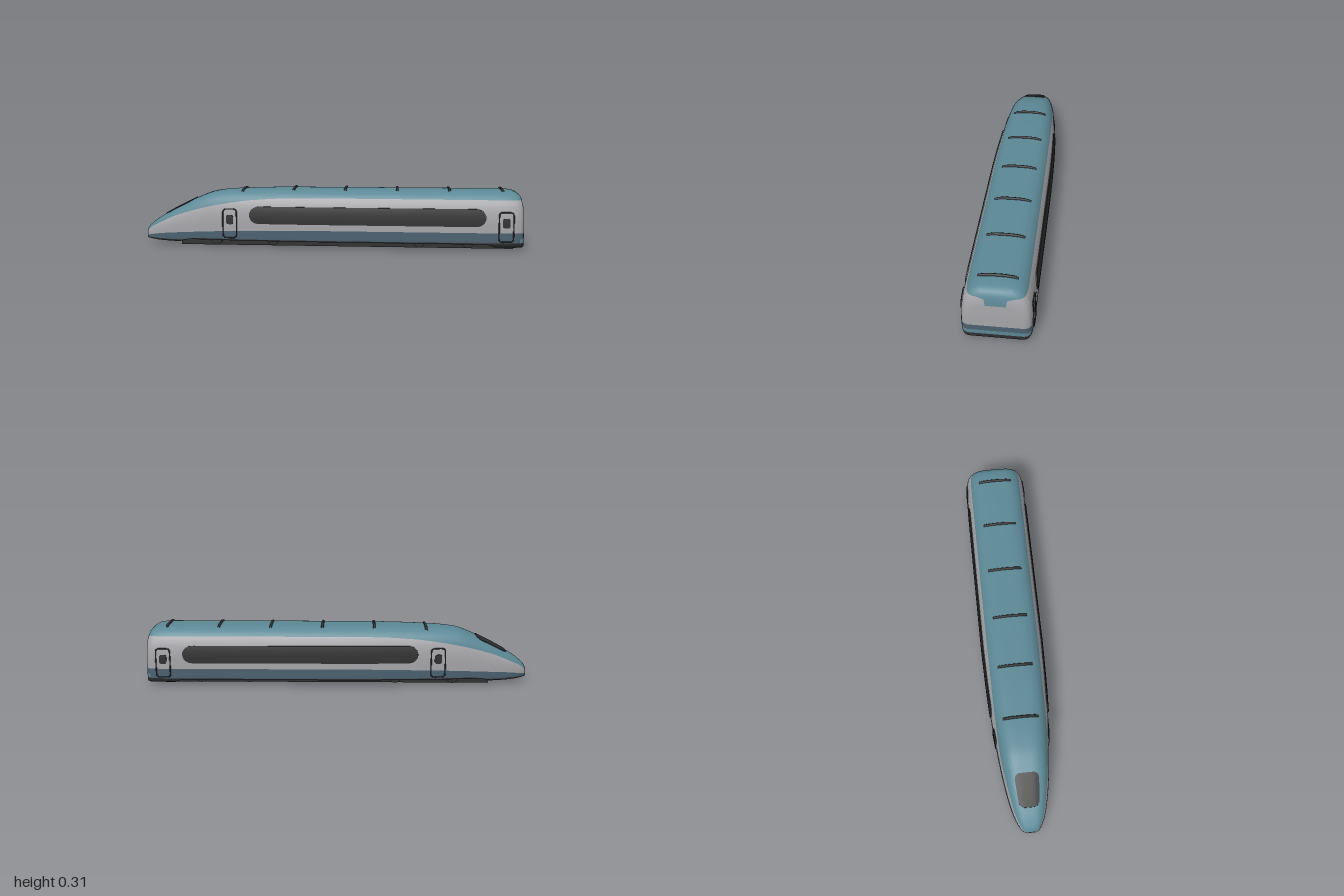
import * as THREE from 'three';
import { toCreasedNormals } from 'three/addons/utils/BufferGeometryUtils.js';

const mat = (name, color, side = THREE.FrontSide) => {
  const m = new THREE.MeshStandardMaterial({ color, side });
  m.name = name;
  return m;
};

// Smooth monotone curve through [x, value] points
function curve(...p) {
  const d = p.slice(1).map((q, i) => (q[1] - p[i][1]) / (q[0] - p[i][0]));
  const tangent = (i) => {
    if (i === 0) return d[0];
    if (i === p.length - 1) return d[i - 1];
    return d[i - 1] * d[i] <= 0 ? 0 : (2 * d[i - 1] * d[i]) / (d[i - 1] + d[i]);
  };
  return (x) => {
    x = Math.min(Math.max(x, p[0][0]), p[p.length - 1][0]);
    let i = 0;
    while (i < p.length - 2 && x > p[i + 1][0]) i++;
    const h = p[i + 1][0] - p[i][0], t = (x - p[i][0]) / h;
    const a = t * t * (3 - 2 * t);
    return p[i][1] * (1 - a) + p[i + 1][1] * a
      + h * (t * (1 - t) ** 2 * tangent(i) - t * t * (1 - t) * tangent(i + 1));
  };
}

// Hull outlines along the length: roof line, half width, underside, paint borders
const top = curve([-1, 0.06], [-0.99, 0.085], [-0.97, 0.105], [-0.93, 0.135], [-0.9, 0.153], [-0.8, 0.207],
  [-0.7, 0.254], [-0.62, 0.282], [-0.5, 0.294], [-0.2, 0.302], [0.9, 0.303], [0.95, 0.298], [0.97, 0.291],
  [0.985, 0.277], [0.995, 0.252], [1, 0.22]);
const width = curve([-1, 0.02], [-0.99, 0.042], [-0.97, 0.056], [-0.93, 0.075], [-0.9, 0.085], [-0.8, 0.107],
  [-0.7, 0.122], [-0.6, 0.133], [-0.4, 0.15], [-0.2, 0.158], [0, 0.162], [0.9, 0.163], [0.97, 0.158],
  [0.985, 0.151], [0.995, 0.141], [1, 0.125]);
const bottom = curve([-1, 0.03], [-0.9, 0.022], [-0.8, 0.02], [-0.75, 0.035], [0.81, 0.035], [0.86, 0.018],
  [0.98, 0.018], [1, 0.025]);
const skirtLine = curve([-1, 0.034], [-0.8, 0.03], [-0.7, 0.042], [0.8, 0.042], [1, 0.044]);
const stripeLine = curve([-1, 0.042], [-0.9, 0.06], [-0.8, 0.069], [-0.6, 0.081], [-0.4, 0.088], [0, 0.094], [1, 0.094]);
const roofLine = curve([-1, 0.056], [-0.97, 0.085], [-0.9, 0.122], [-0.8, 0.165], [-0.6, 0.218], [-0.4, 0.248],
  [-0.2, 0.259], [0, 0.261], [1, 0.26]);

// Half width of the hull at (x, y), and its inverse for the roof
function sideZ(x, y) {
  const v = Math.min(Math.max((y - 0.018) / (top(x) - 0.018), 0), 1);
  let f = 1;
  if (v < 0.1) f = 0.88 + 0.12 * Math.sqrt(1 - (1 - v / 0.1) ** 2);
  if (v > 0.35) f = Math.max(0, 1 - ((v - 0.35) / 0.65) ** 2.5) ** 0.25;
  return width(x) * f;
}
function roofY(x, z) {
  const k = Math.min(Math.abs(z) / width(x), 1);
  return 0.018 + (top(x) - 0.018) * (0.35 + 0.65 * (1 - k ** 4) ** 0.4);
}

function hullGeometry() {
  const xs = [-1, -0.996, -0.99, -0.98, -0.97, -0.95, -0.93];
  for (let x = -0.9; x < 0.93; x += 0.025) xs.push(x);
  xs.push(0.95, 0.96, 0.97, 0.978, 0.985, 0.99, 0.995, 0.998, 1);
  const steps = [4, 2, 2, 8, 12];          // rows in each paint band, bottom to top
  const bandOfRow = steps.flatMap((n, b) => Array(n).fill(b));
  const K = bandOfRow.length, N = 2 * K + 1;
  const pos = [];
  for (const x of xs) {
    const t = top(x);
    const d = skirtLine(x), s = stripeLine(x);
    const limits = [bottom(x), d, d + (s - d) * 0.42, s, Math.min(roofLine(x), t - 0.001), t];
    const half = [];
    steps.forEach((n, b) => {
      for (let i = 0; i < n; i++) {
        const u = b === 4 ? 1 - (1 - i / n) ** 2.5 : i / n;
        const y = limits[b] + (limits[b + 1] - limits[b]) * u;
        half.push([y, sideZ(x, y)]);
      }
    });
    half.forEach(([y, z]) => pos.push(x, y, z));
    pos.push(x, t, 0);
    half.reverse().forEach(([y, z]) => pos.push(x, y, -z));
  }
  // faces sorted by material: 0 underbody, 1 stripe, 2 side, 3 roof
  const faces = [[], [], [], []];
  const quad = (m, a, b, c, d) => faces[m].push(a, b, c, a, c, d);
  const bandMat = (k, x) => [0, x > 0.98 ? 3 : 1, 1, 2, 3][bandOfRow[k]];
  for (let i = 0; i < xs.length - 1; i++) {
    for (let j = 0; j < N; j++) {
      const n = (j + 1) % N, k = j < K ? j : 2 * K - 1 - j;
      const m = j === N - 1 ? 0 : bandMat(k, xs[i + 1]);
      quad(m, i * N + j, (i + 1) * N + j, (i + 1) * N + n, i * N + n);
    }
  }
  const e = (xs.length - 1) * N;
  for (let k = 0; k < K; k++) {            // flat end and nose tip
    const l = 2 * K - k, l1 = 2 * K - k - 1;
    quad(bandMat(k, 1), e + k, e + l, e + l1, e + k + 1);
    quad(bandMat(k, -1), k + 1, l1, l, k);
  }
  const g = new THREE.BufferGeometry();
  g.setAttribute('position', new THREE.Float32BufferAttribute(pos, 3));
  g.setIndex(faces.flat());
  let start = 0;
  faces.forEach((f, m) => { g.addGroup(start, f.length, m); start += f.length; });
  return toCreasedNormals(g, 0.75);
}

// Thin rounded plate following a surface; its rim sinks into the hull
function plate(x0, x1, half, radius, lift, surface) {
  const nx = 48, ns = 10, pos = [], idx = [];
  for (let i = 0; i <= nx; i++) {
    const x = x0 + (x1 - x0) * (1 - Math.cos((Math.PI * i) / nx)) / 2;
    const c = Math.max(0, 1 - Math.min(x - x0, x1 - x) / radius);
    const h = half(x) - Math.min(radius, half(x)) * (1 - Math.sqrt(1 - c * c));
    for (let j = 0; j <= ns; j++) {
      const s = Math.min(Math.max((j - 1) / (ns - 2), 0), 1) * 2 - 1;
      const rim = j === 0 || j === ns || i === 0 || i === nx;
      pos.push(...surface(x, s * h, rim ? -0.001 : lift));
    }
  }
  for (let i = 0; i < nx; i++) for (let j = 0; j < ns; j++) {
    const a = i * (ns + 1) + j, b = a + ns + 1;
    idx.push(a, b, b + 1, a, b + 1, a + 1);
  }
  const g = new THREE.BufferGeometry();
  g.setAttribute('position', new THREE.Float32BufferAttribute(pos, 3));
  g.setIndex(idx);
  return toCreasedNormals(g, 0.6);
}

// Rounded rectangle path on the hull side
function doorPath(cx, cy, w, h, r, side) {
  const pts = [];
  for (let q = 0; q < 4; q++) {
    const sx = q === 0 || q === 3 ? 1 : -1, sy = q < 2 ? 1 : -1;
    for (let i = 0; i <= 4; i++) {
      const a = (q + i / 4) * Math.PI / 2;
      const x = cx + sx * (w / 2 - r) + r * Math.cos(a), y = cy + sy * (h / 2 - r) + r * Math.sin(a);
      pts.push(new THREE.Vector3(x, y, side * (sideZ(x, y) + 0.001)));
    }
  }
  return new THREE.CatmullRomCurve3(pts, true, 'centripetal');
}

export function createModel() {
  const train = new THREE.Group();
  train.name = 'train';
  const teal = mat('teal paint', 0x5c8896), grey = mat('light grey paint', 0xa6a6aa);
  const slate = mat('slate paint', 0x4b6170), dark = mat('dark trim', 0x303030, THREE.DoubleSide);
  const add = (name, geometry, material = dark) => {
    const m = new THREE.Mesh(geometry, material);
    m.name = name;
    train.add(m);
    return m;
  };

  add('hull', hullGeometry(), [dark, slate, grey, teal]);

  // Windscreen on the sloping nose
  add('windscreen', plate(-0.89, -0.73, (x) => 0.05 + (x + 0.89) * 0.08, 0.03, 0.004,
    (x, s, o) => [x, roofY(x, s) + o, s]));

  // Window bands and doors on both sides
  for (const side of [1, -1]) {
    const onSide = (cy) => (x, s, o) => [x, cy + s, side * (sideZ(x, cy + s) + o)];
    add('windowBand', plate(-0.415, 0.805, () => 0.045, 0.05, 0.005, onSide(0.171)));
    for (const x of [-0.52, 0.907]) {
      add('doorFrame', new THREE.TubeGeometry(doorPath(x, 0.125, 0.072, 0.15, 0.014, side), 96, 0.0035, 6, true));
      add('doorWindow', plate(x - 0.019, x + 0.019, () => 0.024, 0.012, 0.004, onSide(0.145)));
    }
  }

  // Arched ribs across the roof
  for (let i = 0; i < 6; i++) {
    const x = -0.46 + i * 0.271, pts = [];
    for (let j = -6; j <= 6; j++) {
      const z = j * 0.0147;
      pts.push(new THREE.Vector3(x, roofY(x, z) + 0.003 - 0.005 * (j / 6) ** 2, z));
    }
    add('roofRib', new THREE.TubeGeometry(new THREE.CatmullRomCurve3(pts), 24, 0.007, 8));
  }

  // Underframe, rails and wheel blocks
  const box = (name, w, h, d, x, y, z) => add(name, new THREE.BoxGeometry(w, h, d)).position.set(x, y, z);
  box('underframe', 1.75, 0.036, 0.107, 0.08, 0.021, 0);
  for (const z of [-0.07, 0.07]) {
    box('rail', 1.75, 0.038, 0.01, 0.08, 0.019, z);
    for (const x of [-0.6, -0.3, 0.47, 0.72]) {
      const wheel = add('wheel', new THREE.CylinderGeometry(0.03, 0.03, 0.02, 20));
      wheel.rotation.x = Math.PI / 2;
      wheel.position.set(x, 0.034, z * 1.25);
    }
  }
  return train;
}
